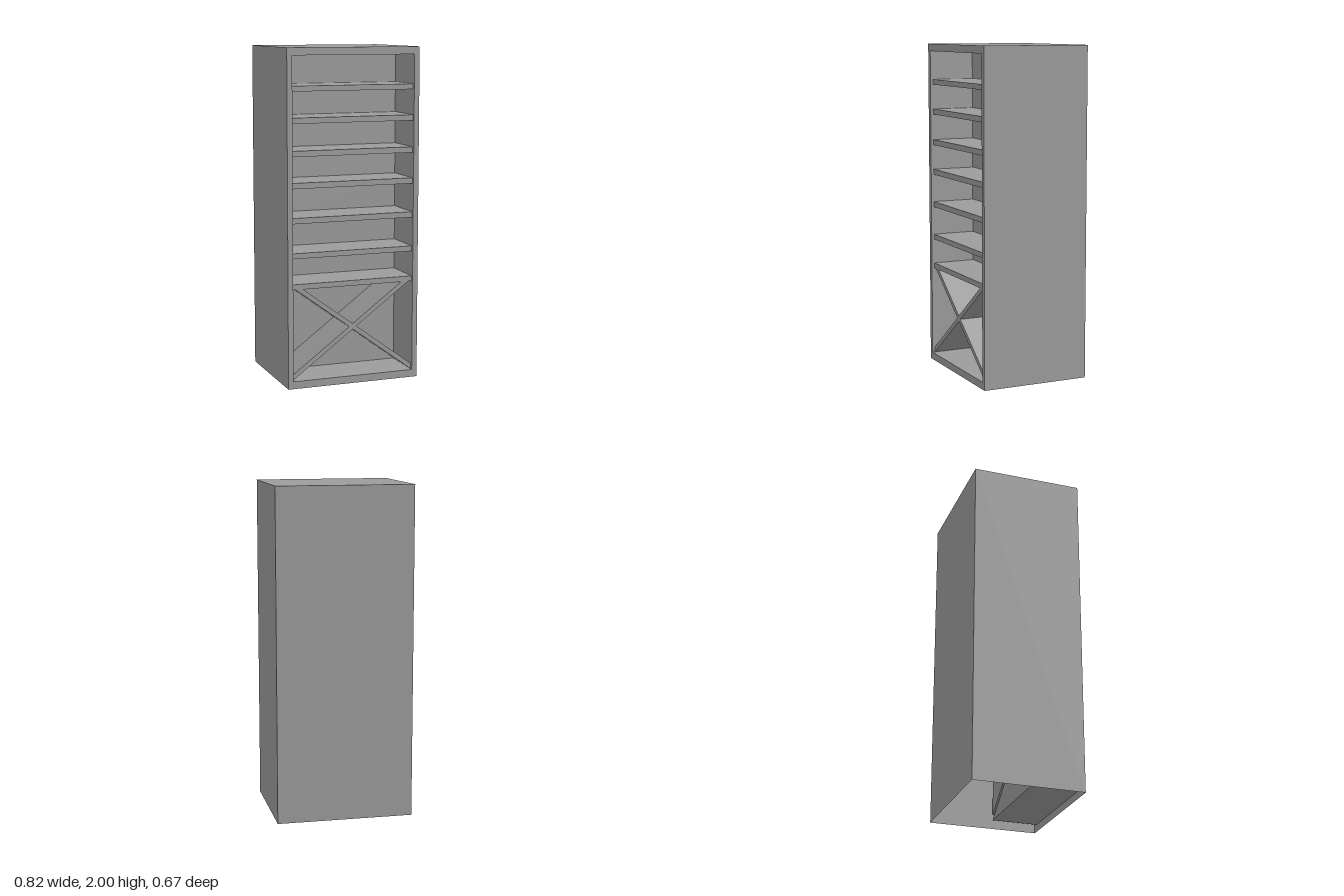
import * as THREE from 'three';

const W = 0.412, H = 2, D = 0.334;             // half width, height, half depth
const IN = 0.38, FLOOR = 0.045, TOP = 1.955;   // cavity outline
const RECESS = D - 0.017, REAR = 0.05;         // shelf front edge and cavity rear wall

const material = new THREE.MeshStandardMaterial({ color: 0x9c9c9c, side: THREE.DoubleSide, flatShading: true });

const rect = (x0, y0, x1, y1) => [[x0, y0], [x1, y0], [x1, y1], [x0, y1]];
const vectors = (pts) => pts.map(([x, y]) => new THREE.Vector2(x, y));

function addMesh(parent, name, geometry) {
  const mesh = new THREE.Mesh(geometry, material);
  mesh.name = name;
  parent.add(mesh);
  return mesh;
}

// Flat panel facing +z with openings cut in it
function panel(outline, holes, z) {
  const shape = new THREE.Shape(vectors(outline));
  holes.forEach((h) => shape.holes.push(new THREE.Path(vectors(h))));
  return new THREE.ShapeGeometry(shape).translate(0, 0, z);
}

// Walls running along z over a polyline; counter-clockwise points face outward
function walls(pts, z0, z1, closed = true) {
  const pos = [];
  const count = closed ? pts.length : pts.length - 1;
  for (let i = 0; i < count; i++) {
    const [px, py] = pts[i], [qx, qy] = pts[(i + 1) % pts.length];
    pos.push(px, py, z0, qx, qy, z0, qx, qy, z1, px, py, z0, qx, qy, z1, px, py, z1);
  }
  const g = new THREE.BufferGeometry();
  g.setAttribute('position', new THREE.Float32BufferAttribute(pos, 3));
  g.computeVertexNormals();
  return g;
}

export function createModel() {
  const model = new THREE.Group();
  model.name = 'shelfCabinet';

  // Outer casing, open underneath
  const casing = [[W, 0], [W, H], [-W, H], [-W, 0]];
  addMesh(model, 'casingSidesAndTop', walls(casing, -D, D, false));
  const back = addMesh(model, 'casingBack', panel(rect(-W, 0, W, H), [], D));
  back.rotation.y = Math.PI;

  // Front frame and the short rim leading in to the shelf edges
  const cavity = rect(-IN, FLOOR, IN, TOP);
  addMesh(model, 'frontFrame', panel(rect(-W, 0, W, H), [cavity], D));
  addMesh(model, 'frontRim', walls([...cavity].reverse(), RECESS, D));

  // Shelves as [underside, upper side]
  const shelves = [[0.592, 0.624], [0.776, 0.808], [0.982, 1.016], [1.187, 1.221],
    [1.373, 1.407], [1.564, 1.598], [1.749, 1.781]];

  // Open bays above each shelf
  const bays = shelves.map(([, y], i) =>
    rect(-IN, y, IN, i + 1 < shelves.length ? shelves[i + 1][0] : TOP));

  // Bottom compartment: four bays between the arms of a cross
  const slope = 0.74, mid = 0.344, t = 0.017, ceil = shelves[0][0];
  const low = mid - t - slope * IN, high = mid + t - slope * IN;
  const xTop = (ceil - mid - t) / slope, xSide = (ceil - mid + t) / slope;
  const sideBay = [[IN, high], [IN, ceil], [xSide, ceil], [t / slope, mid]];
  bays.push(
    [[-IN, FLOOR], [IN, FLOOR], [IN, low], [0, mid - t], [-IN, low]],
    [[0, mid + t], [xTop, ceil], [-xTop, ceil]],
    sideBay,
    sideBay.map(([x, y]) => [-x, y]).reverse(),
  );

  // Front edges of all shelves and cross arms, shown as thin strips
  const edges = new THREE.Group();
  edges.name = 'shelfAndCrossEdges';
  model.add(edges);
  shelves.forEach(([y0, y1]) => addMesh(edges, 'shelfEdge', panel(rect(-IN, y0, IN, y1), [], RECESS)));
  const cross = [[-IN, low], [0, mid - t], [IN, low], [IN, high], [t / slope, mid], [xSide, ceil], [xTop, ceil],
    [0, mid + t], [-xTop, ceil], [-xSide, ceil], [-t / slope, mid], [-IN, high]];
  addMesh(edges, 'crossEdge', panel(cross, [], RECESS));

  // Each bay: surfaces facing inward, closed by a rear wall
  bays.forEach((bay) => {
    const group = new THREE.Group();
    group.name = 'bay';
    addMesh(group, 'bayLining', walls([...bay].reverse(), REAR, RECESS));
    addMesh(group, 'bayRearWall', panel(bay, [], REAR));
    model.add(group);
  });

  return model;
}
